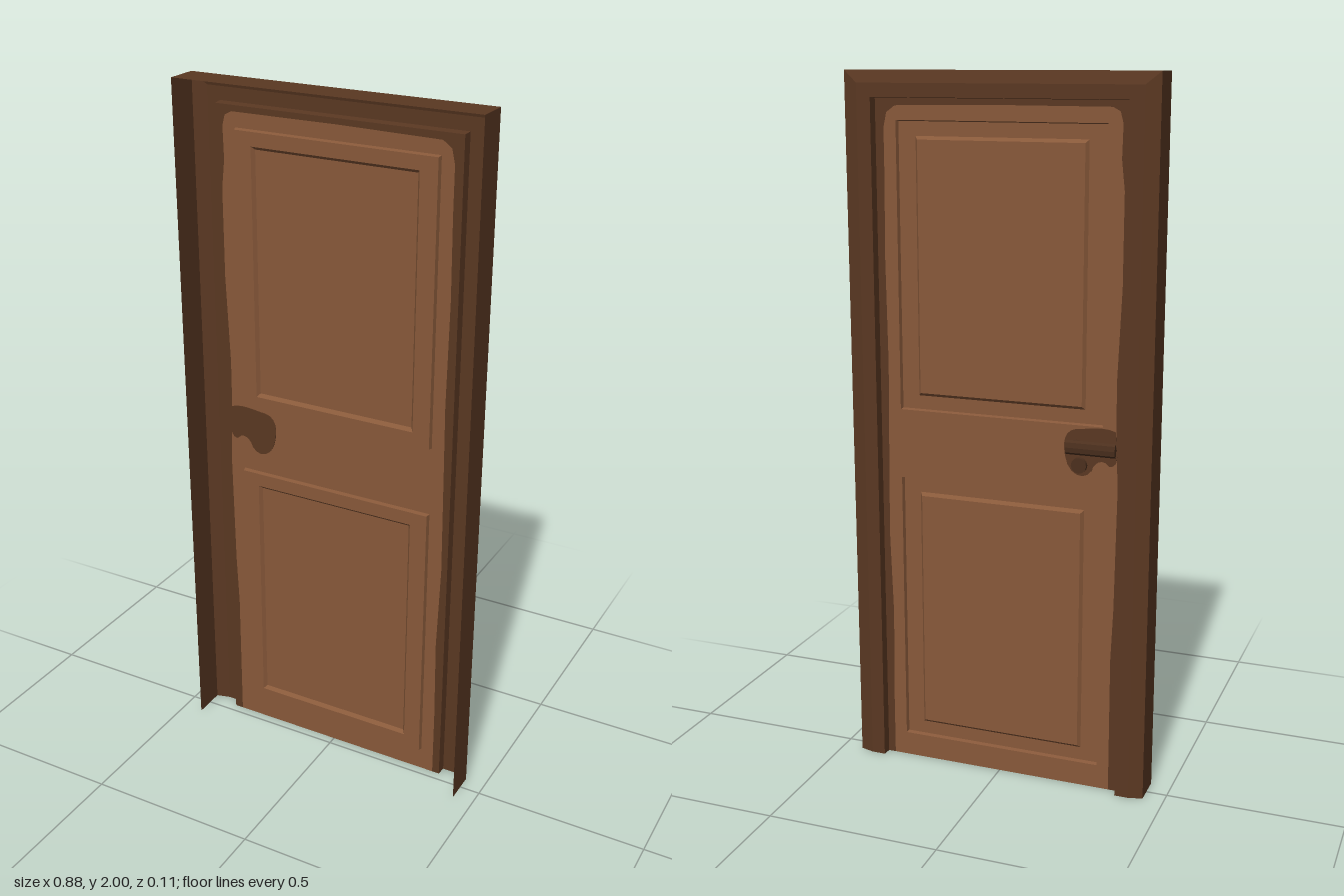
import * as THREE from 'three';

const wood = (name, color) => {
  const m = new THREE.MeshStandardMaterial({ color, side: THREE.DoubleSide });
  m.name = name;
  return m;
};

// Flat-sided sheet joining successive outlines with equal point counts
function loft(loops, closed) {
  const pos = [];
  for (let i = 0; i < loops.length - 1; i++) {
    const a = loops[i], b = loops[i + 1], n = a.length;
    for (let j = 0; j < (closed ? n : n - 1); j++) {
      const k = (j + 1) % n;
      pos.push(...a[j], ...b[j], ...b[k], ...a[j], ...b[k], ...a[k]);
    }
  }
  const g = new THREE.BufferGeometry();
  g.setAttribute('position', new THREE.Float32BufferAttribute(pos, 3));
  g.computeVertexNormals();
  return g;
}

const rect = (x, y0, y1) => [[-x, y0], [x, y0], [x, y1], [-x, y1]];
const toPoints = (pts) => pts.map(([x, y]) => new THREE.Vector2(x, y));

export function createModel() {
  const doorWood = wood('doorWood', 0x88593a);
  const frameWood = wood('frameWood', 0x5a3822);
  const handleMetal = wood('handleBrown', 0x4c301e);

  const model = new THREE.Group();
  model.name = 'door';
  const add = (name, geometry, material, x = 0, y = 0, z = 0, parent = model) => {
    const mesh = new THREE.Mesh(geometry, material);
    mesh.name = name;
    mesh.position.set(x, y, z);
    parent.add(mesh);
    return mesh;
  };

  const railZ = -0.026, recessZ = -0.014, panelZ = -0.024;

  // Frame: profile swept up, across and down; open to the front
  const profile = [
    [0.44, 2, 0.053], [0.44, 2, -0.042], [0.4, 1.967, -0.053],
    [0.36, 1.93, -0.053], [0.358, 1.928, railZ],
  ];
  add('frame', loft(profile.map(([x, y, z]) =>
    [[-x, 0, z], [-x, y, z], [x, y, z], [x, 0, z]]), false), frameWood);

  // Door leaf outline, slightly uneven, inside a darker margin
  const outline = [
    [-0.333, 0], [0.336, 0], [0.336, 0.2], [0.332, 0.45], [0.34, 0.7], [0.336, 1],
    [0.333, 1.2], [0.337, 1.5], [0.334, 1.72], [0.334, 1.85], [0.325, 1.89], [0.3, 1.908],
    [0, 1.912], [-0.31, 1.911], [-0.33, 1.9], [-0.338, 1.87], [-0.336, 1.78], [-0.345, 1.7],
    [-0.345, 1.45], [-0.335, 1.2], [-0.336, 1.05], [-0.343, 0.9], [-0.338, 0.55], [-0.332, 0.4],
  ];
  const margin = new THREE.Shape(toPoints([
    [-0.358, 0], ...outline.slice(0, 1), ...outline.slice(1).reverse(),
  ].slice(1, 2).concat(outline.slice(2).reverse(), [[0.336, 0], [0.358, 0], [0.358, 1.928], [-0.358, 1.928], [-0.358, 0]])));
  add('doorMargin', new THREE.ShapeGeometry(margin), frameWood, 0, 0, railZ);

  const rails = new THREE.Shape(toPoints(outline));
  const fields = [[0.07, 0.87], [1.07, 1.87]];
  for (const [y0, y1] of fields) rails.holes.push(new THREE.Path(toPoints(rect(0.298, y0, y1))));
  add('doorRails', new THREE.ShapeGeometry(rails), doorWood, 0, 0, railZ);

  // Two stepped panels
  for (const [y0, y1] of fields) {
    const ring = (x, inset, z) => rect(x, y0 + inset, y1 - inset).map(([a, b]) => [a, b, z]);
    const steps = [
      ring(0.298, 0, railZ), ring(0.295, 0.003, recessZ),
      ring(0.245, 0.042, recessZ), ring(0.237, 0.051, panelZ),
    ];
    add('panelMoulding', loft(steps, true), doorWood);
    add('panel', new THREE.PlaneGeometry(0.474, y1 - y0 - 0.102), doorWood, 0, (y0 + y1) / 2, panelZ);
  }

  // Dark lock patch showing on both faces of the leaf
  const patch = new THREE.Shape();
  patch.moveTo(-0.335, 1.06);
  patch.bezierCurveTo(-0.3, 1.075, -0.25, 1.06, -0.225, 1.06);
  patch.bezierCurveTo(-0.19, 1.055, -0.185, 1.02, -0.192, 0.985);
  patch.bezierCurveTo(-0.2, 0.925, -0.25, 0.915, -0.268, 0.945);
  patch.bezierCurveTo(-0.275, 0.97, -0.3, 0.985, -0.315, 0.965);
  patch.bezierCurveTo(-0.325, 0.955, -0.34, 0.97, -0.34, 0.99);
  add('lockPatch', new THREE.ExtrudeGeometry(patch, { depth: 0.004, bevelEnabled: false, curveSegments: 6 }),
    frameWood, 0, 0, railZ - 0.002);

  // Lever handle and keyhole rose on the back
  const handle = new THREE.Group();
  handle.name = 'handle';
  model.add(handle);
  const lever = new THREE.CylinderGeometry(0.02, 0.02, 0.14, 8).rotateZ(Math.PI / 2).scale(1, 1, 0.4).toNonIndexed();
  lever.computeVertexNormals();
  add('lever', lever, handleMetal, -0.27, 1.012, -0.045, handle);
  const disc = (r, d) => new THREE.CylinderGeometry(r, r, d, 12).rotateX(Math.PI / 2);
  add('leverStem', disc(0.018, 0.02), handleMetal, -0.225, 1.012, -0.035, handle);
  add('keyRose', disc(0.022, 0.014), handleMetal, -0.235, 0.96, -0.033, handle);

  return model;
}
